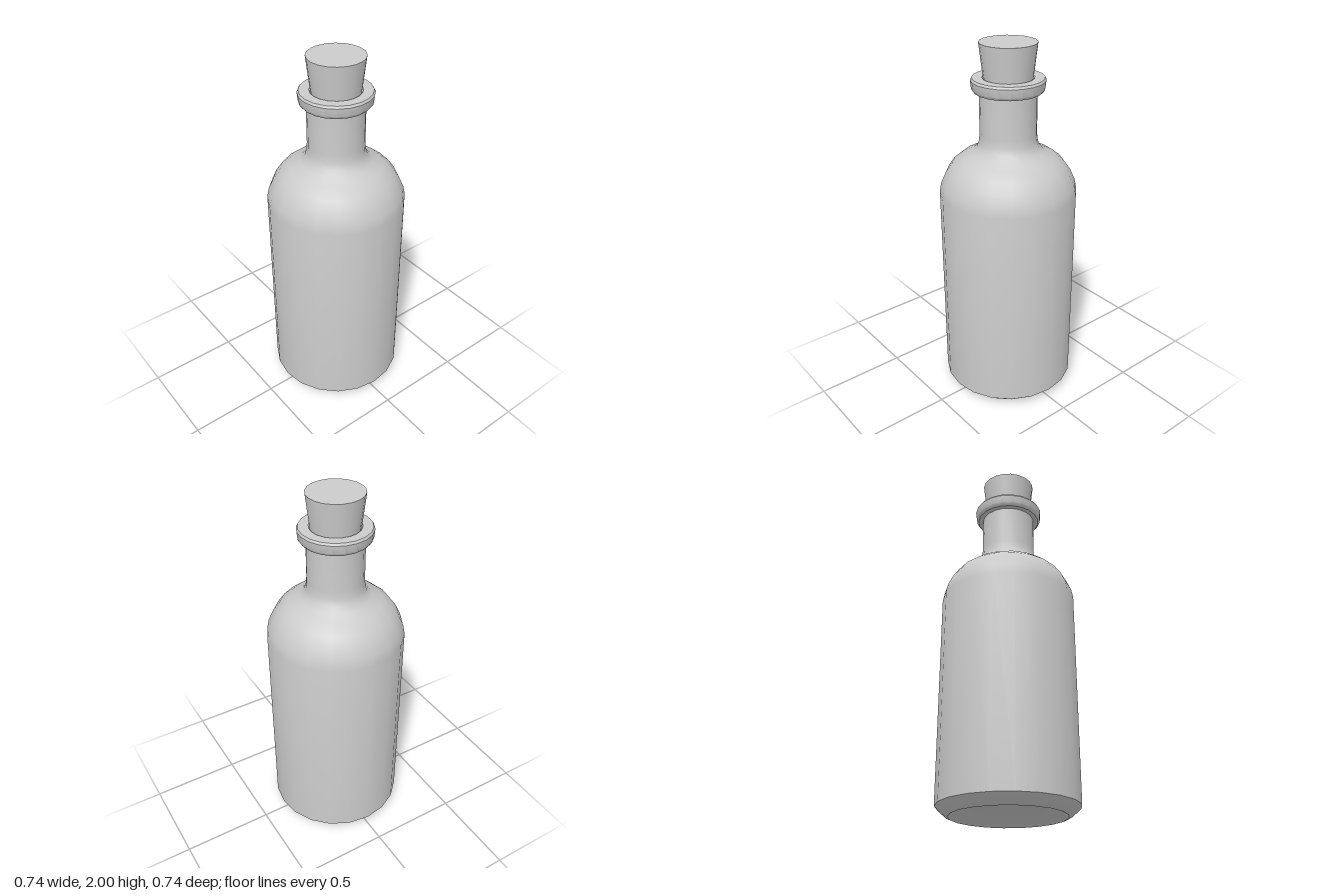
import * as THREE from 'three';
import { toCreasedNormals } from 'three/addons/utils/BufferGeometryUtils.js';

const SIDES = 20;
const material = new THREE.MeshStandardMaterial({ color: 0xcccccc, side: THREE.DoubleSide });

// Revolve a [radius, height] profile, listed from the bottom up
function turned(name, profile, crease) {
  const points = profile.map(([r, y]) => new THREE.Vector2(r, y));
  const geometry = toCreasedNormals(new THREE.LatheGeometry(points, SIDES), crease);
  const mesh = new THREE.Mesh(geometry, material);
  mesh.name = name;
  return mesh;
}

export function createModel() {
  const group = new THREE.Group();
  group.name = 'corkedBottle';

  // Hollowed base, straight body, rounded shoulder and neck
  group.add(turned('bottleBody', [
    [0, 0.06], [0.15, 0.05], [0.25, 0.025], [0.305, 0],
    [0.325, 0.008], [0.372, 0.05],
    [0.372, 1.2], [0.362, 1.25], [0.335, 1.31], [0.3, 1.36], [0.25, 1.4],
    [0.19, 1.43], [0.165, 1.455], [0.154, 1.49], [0.151, 1.53], [0.151, 1.76],
  ], 0.75));

  // Lip ring with an opening down into the neck
  group.add(turned('lip', [
    [0.15, 1.75], [0.178, 1.75], [0.19, 1.765], [0.195, 1.81], [0.188, 1.822],
    [0.135, 1.822], [0.125, 1.81], [0.12, 1.7],
  ], 0.6));

  // Tapered cork pushed into the neck
  group.add(turned('cork', [
    [0, 1.7], [0.115, 1.7], [0.15, 2], [0, 2],
  ], 0.6));

  return group;
}
